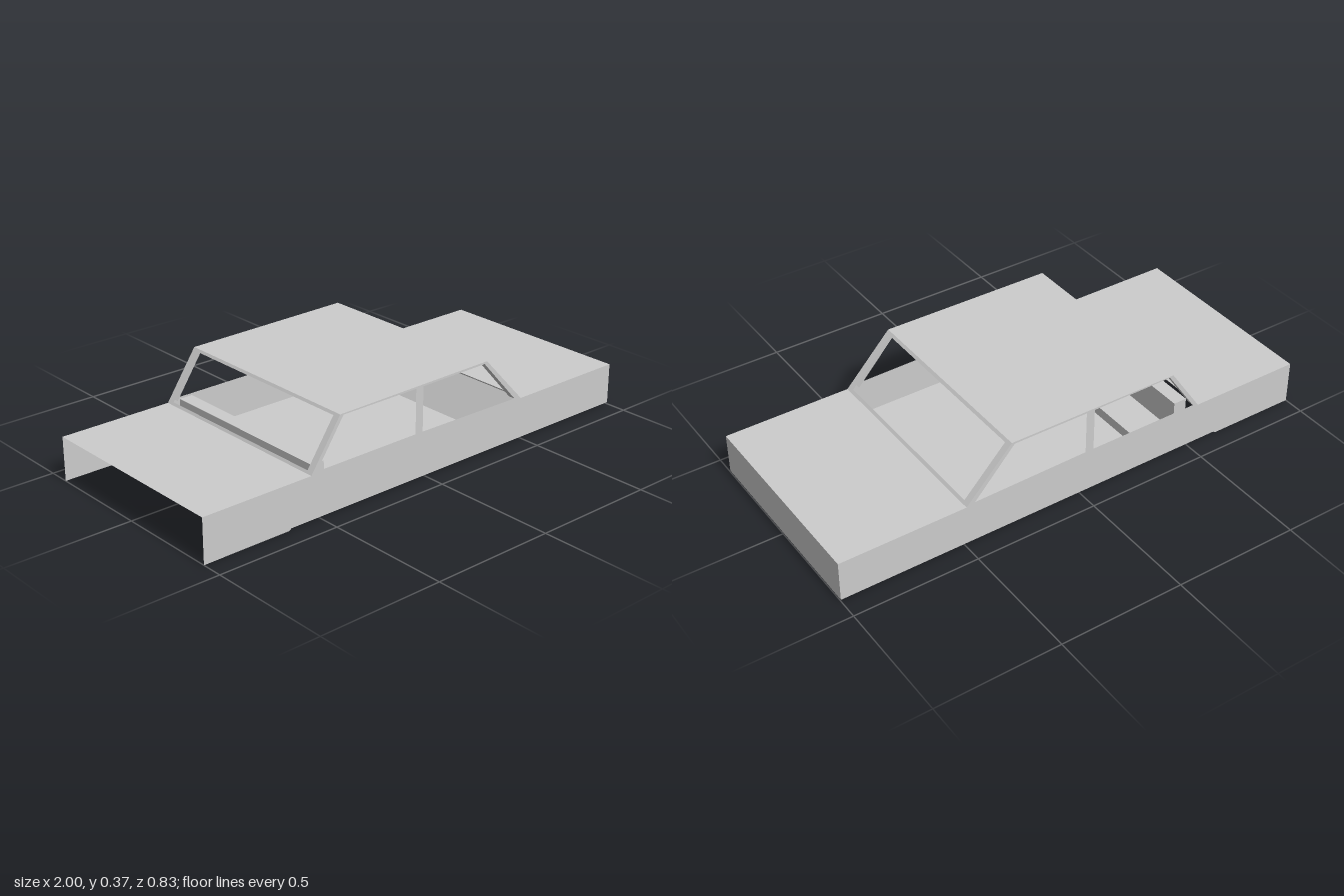
import * as THREE from 'three';

const HALF = 0.415; // half the body width
const metal = new THREE.MeshStandardMaterial({ color: 0xcccccc, flatShading: true, side: THREE.DoubleSide });

// Builds flat four-cornered faces, corners anticlockwise from outside.
function quads(name, faces) {
  const pos = [];
  for (const [a, b, c, d] of faces) pos.push(...a, ...b, ...c, ...a, ...c, ...d);
  const geo = new THREE.BufferGeometry();
  geo.setAttribute('position', new THREE.Float32BufferAttribute(pos, 3));
  geo.computeVertexNormals();
  return named(name, geo);
}

function named(name, geo) {
  const mesh = new THREE.Mesh(geo, metal);
  mesh.name = name;
  return mesh;
}

// Sheet metal following an x/y profile across the car's width.
function sheet(name, profile, w = HALF) {
  const faces = [];
  for (let i = 0; i + 1 < profile.length; i++) {
    const [a, b] = [profile[i], profile[i + 1]];
    faces.push([[...a, w], [...b, w], [...b, -w], [...a, -w]]);
  }
  return quads(name, faces);
}

// Sloping window surround: a flat ring between foot and head of the opening.
function windowFrame(name, foot, head) {
  const at = (t, z) => [
    foot[0] + (head[0] - foot[0]) * t,
    foot[1] + (head[1] - foot[1]) * t, z];
  const ring = (t0, t1, z) => [at(t0, z), at(t0, -z), at(t1, -z), at(t1, z)];
  const outer = ring(0, 1, HALF), inner = ring(0.05, 0.95, 0.387);
  return quads(name, outer.map((p, i) => {
    const j = (i + 1) % 4;
    return [p, outer[j], inner[j], inner[i]];
  }));
}

const shapeOf = pts => new THREE.Shape(pts.map(p => new THREE.Vector2(...p)));

export function createModel() {
  const car = new THREE.Group();
  car.name = 'car';

  // Body sides with pillars and two window openings each
  const side = shapeOf([[-1, 0], [-0.64, 0], [-0.63, 0.007], [1, 0.007], [1, 0.17], [0.49, 0.17],
    [0.30, 0.37], [-0.41, 0.365], [-0.54, 0.175], [-1, 0.175]]);
  side.holes.push(
    shapeOf([[-0.515, 0.184], [-0.055, 0.184], [-0.055, 0.36], [-0.395, 0.36]]),
    shapeOf([[-0.02, 0.184], [0.455, 0.178], [0.288, 0.362], [-0.02, 0.36]]));
  for (const s of [1, -1]) {
    const panel = named(s > 0 ? 'frontBodySide' : 'rearBodySide', new THREE.ShapeGeometry(side));
    panel.position.z = s * HALF;
    if (s < 0) panel.geometry.scale(1, 1, -1);
    car.add(panel);

    // Inner return of the sloping pillars
    const inner = s * 0.387;
    const strip = (a, b) => [[...a, s * HALF], [...b, s * HALF], [...b, inner], [...a, inner]];
    car.add(quads('pillarReturn', [
      strip([-0.515, 0.184], [-0.395, 0.36]),
      strip([0.455, 0.178], [0.288, 0.362])]));
  }

  // Bonnet with end wall, roof and open-ended boot deck
  car.add(
    sheet('bonnet', [[0.49, 0.17], [1, 0.17], [1, 0.007]]),
    sheet('roof', [[-0.41, 0.365], [0.30, 0.37]]),
    sheet('bootDeck', [[-1, 0.175], [-0.54, 0.175]]));

  // Window surrounds
  car.add(
    windowFrame('windscreenFrame', [0.49, 0.17], [0.30, 0.37]),
    windowFrame('backWindowFrame', [-0.54, 0.175], [-0.41, 0.365]));

  // Floor and sloping toe board
  car.add(
    sheet('floor', [[-0.54, 0.03], [0.49, 0.03]]),
    sheet('toeBoard', [[0.39, 0.03], [0.49, 0.17]]));

  // Back seat with upright backrest
  const seat = new THREE.ExtrudeGeometry(
    shapeOf([[-0.51, 0.03], [-0.31, 0.03], [-0.31, 0.07], [-0.455, 0.07], [-0.455, 0.194], [-0.51, 0.194]]),
    { depth: 0.76, bevelEnabled: false });
  seat.translate(0, 0, -0.38);
  car.add(named('backSeat', seat));

  return car;
}
